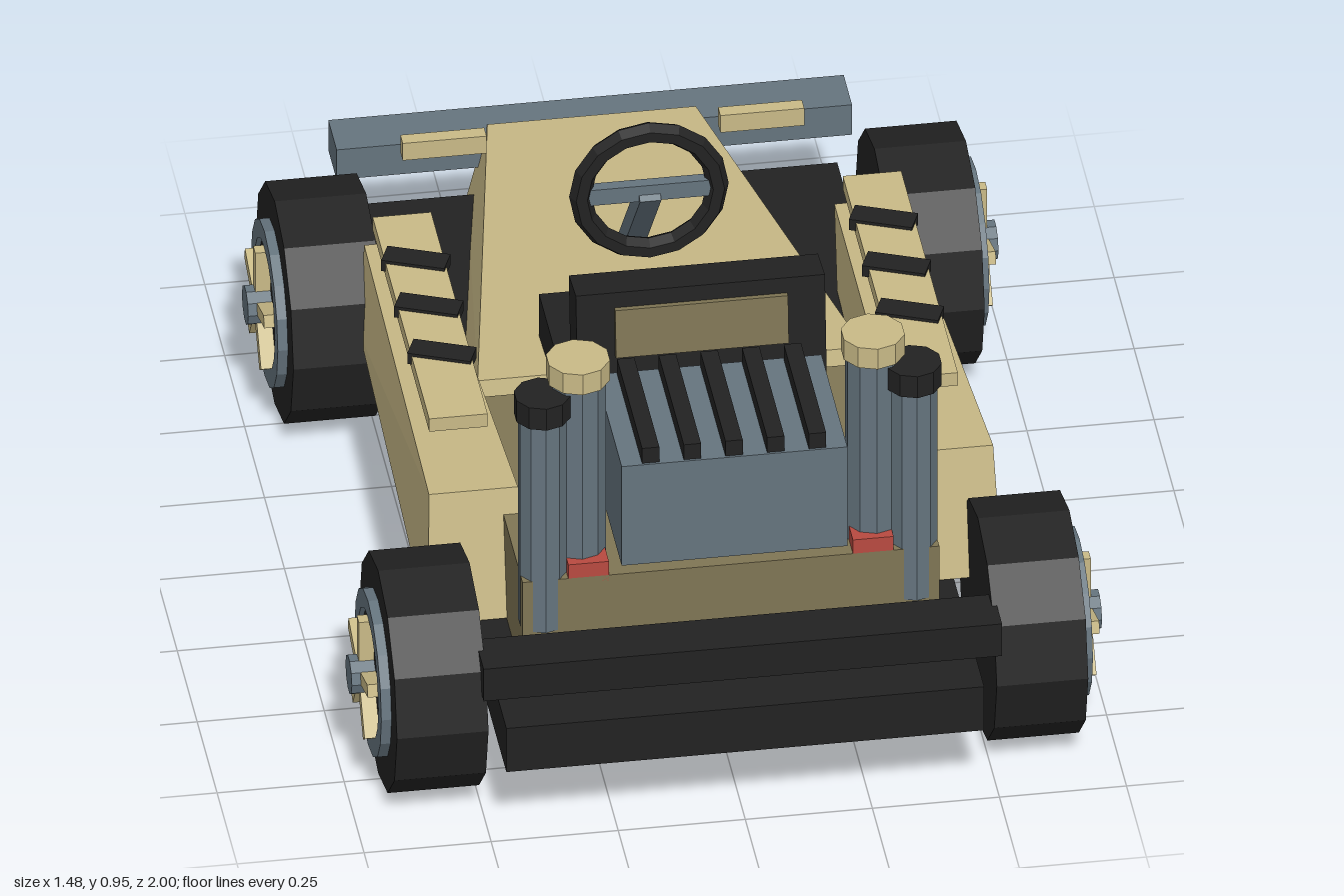
import * as THREE from 'three';

const paint = (name, color) => {
  const m = new THREE.MeshStandardMaterial({ color, flatShading: true });
  m.name = name;
  return m;
};

export function createModel() {
  const tan = paint('tan', 0xc9ba87), olive = paint('olive', 0x7f7554);
  const slate = paint('slate', 0x65747e), black = paint('black', 0x222222);
  const red = paint('red', 0xb84a40);
  const kart = new THREE.Group();
  kart.name = 'kart';

  const add = (name, geometry, material, parent = kart) => {
    const mesh = new THREE.Mesh(geometry, material);
    mesh.name = name;
    parent.add(mesh);
    return mesh;
  };
  // Box given by its limits on each axis
  const box = (name, mat, [x0, x1], [y0, y1], [z0, z1], parent) => {
    const m = add(name, new THREE.BoxGeometry(x1 - x0, y1 - y0, z1 - z0), mat, parent);
    m.position.set((x0 + x1) / 2, (y0 + y1) / 2, (z0 + z1) / 2);
    return m;
  };
  // Box whose corners are placed by a rule on the signs of x, y and z
  const wedge = (name, mat, rule) => {
    const g = new THREE.BoxGeometry(2, 2, 2), p = g.attributes.position;
    for (let i = 0; i < p.count; i++) p.setXYZ(i, ...rule(p.getX(i), p.getY(i), p.getZ(i)));
    g.computeVertexNormals();
    return add(name, g, mat);
  };
  // Upright cylinder
  const post = (name, mat, x, z, r, y0, y1, sides) => {
    const m = add(name, new THREE.CylinderGeometry(r, r, y1 - y0, sides), mat);
    m.position.set(x, (y0 + y1) / 2, z);
    return m;
  };
  // Cylinder lying along x
  const disc = (name, mat, r, x0, x1, sides, parent) => {
    const g = new THREE.CylinderGeometry(r, r, x1 - x0, sides).rotateZ(-Math.PI / 2);
    const m = add(name, g, mat, parent);
    m.position.x = (x0 + x1) / 2;
    return m;
  };

  // Chassis and bumpers
  box('chassis', black, [-0.47, 0.47], [0.16, 0.262], [-0.845, 1]);
  box('upperBumper', black, [-0.51, 0.51], [0.31, 0.385], [0.865, 0.97]);
  box('noseBumper', slate, [-0.507, 0.507], [0.29, 0.36], [-1, -0.895]);

  // Bodywork: tapered nose and rear deck
  wedge('nose', tan, (x, y, z) => {
    if (z < 0) return y > 0 ? [x * 0.205, 0.365, -0.93] : [x * 0.24, 0.185, -0.96];
    return y > 0 ? [x * 0.38, 0.445, 0.065] : [x * 0.44, 0.185, 0.12];
  });
  box('rearDeck', olive, [-0.41, 0.41], [0.25, 0.478], [0.17, 0.82]);

  for (const s of [-1, 1]) {
    // Side pod with a plate and three slanted stripes
    wedge('sidePod', tan, (x, y, z) => {
      const outer = x * s > 0;
      if (z < 0) return [s * (outer ? (y > 0 ? 0.525 : 0.54) : 0.4), y > 0 ? 0.445 : 0.265, y > 0 ? -0.435 : -0.4];
      return [s * (outer ? (y > 0 ? 0.555 : 0.565) : 0.38), y > 0 ? 0.533 : 0.265, y > 0 ? 0.57 : 0.625];
    });
    box('podPlate', tan, s > 0 ? [0.405, 0.52] : [-0.52, -0.405], [0.53, 0.56], [-0.36, 0.35]);
    for (const z of [-0.2, -0.037, 0.127]) {
      const stripe = add('podStripe', new THREE.BoxGeometry(0.126, 0.025, 0.052), black);
      stripe.position.set(s * 0.46, 0.554, z);
      stripe.rotation.y = -0.39;
    }

    // Small bracket beside the nose
    box('noseBracket', tan, s > 0 ? [0.23, 0.395] : [-0.395, -0.23], [0.4, 0.44], [-0.81, -0.78]);

    // Twin exhaust stacks and tail light
    post('innerStack', slate, s * 0.29, 0.75, 0.055, 0.46, 0.9, 10);
    post('innerStackCap', tan, s * 0.29, 0.75, 0.063, 0.9, 0.947, 10);
    post('outerStack', slate, s * 0.365, 0.78, 0.048, 0.36, 0.84, 10);
    post('outerStackCap', black, s * 0.365, 0.78, 0.056, 0.84, 0.89, 10);
    box('tailLight', red, s > 0 ? [0.24, 0.32] : [-0.32, -0.24], [0.465, 0.51], [0.77, 0.82]);
  }

  // Seat with leaning back and inset panel
  box('seatCushion', black, [-0.235, 0.235], [0.43, 0.53], [-0.09, 0.42]);
  wedge('seatBack', black, (x, y, z) =>
    [x * 0.245, y > 0 ? (z < 0 ? 0.867 : 0.877) : 0.5, (y > 0 ? 0.393 : 0.43) + z * 0.044]);
  const panel = box('seatPanel', olive, [-0.17, 0.17], [0.735, 0.84], [0.348, 0.458]);
  panel.rotation.x = -0.1;

  // Engine block with cooling fins
  box('engine', slate, [-0.222, 0.222], [0.528, 0.76], [0.54, 0.865]);
  for (let i = -2; i <= 2; i++) {
    box('engineFin', black, [i * 0.082 - 0.017, i * 0.082 + 0.017], [0.755, 0.795], [0.545, 0.86]);
  }

  // Steering wheel, crossbar and column
  const wheelRing = add('steeringWheel', new THREE.TorusGeometry(0.135, 0.022, 6, 16), black);
  wheelRing.position.set(0, 0.67, -0.21);
  box('steeringCrossbar', slate, [-0.125, 0.125], [0.652, 0.688], [-0.222, -0.198]);
  const column = add('steeringColumn', new THREE.BoxGeometry(0.042, 0.04, 0.38), slate);
  column.position.set(0, 0.527, -0.327);
  column.rotation.x = -Math.atan2(0.29, 0.25);

  // Wheels and axles
  const ring = new THREE.Shape().absarc(0, 0, 0.168, 0, Math.PI * 2);
  ring.holes.push(new THREE.Path().absarc(0, 0, 0.13, 0, Math.PI * 2, true));
  const rimGeometry = new THREE.ExtrudeGeometry(ring, { depth: 0.03, bevelEnabled: false, curveSegments: 8 })
    .rotateY(Math.PI / 2);
  for (const z of [0.73, -0.57]) {
    const axle = disc('axle', slate, 0.022, -0.6, 0.6, 8);
    axle.position.set(0, 0.237, z);
    for (const s of [-1, 1]) {
      const wheel = new THREE.Group();
      wheel.name = 'wheel';
      wheel.position.set(0, 0.237, z);
      if (s < 0) wheel.rotation.y = Math.PI;
      kart.add(wheel);
      disc('tire', black, 0.237, 0.5, 0.68, 12, wheel);
      add('rim', rimGeometry, slate, wheel).position.x = 0.67;
      disc('rimCentre', black, 0.135, 0.67, 0.69, 16, wheel);
      for (let i = 0; i < 5; i++) {
        const spoke = add('spoke', new THREE.BoxGeometry(0.03, 0.12, 0.026).translate(0, 0.068, 0), tan, wheel);
        spoke.position.x = 0.705;
        spoke.rotation.x = (i * Math.PI * 2) / 5;
      }
      disc('hub', slate, 0.04, 0.68, 0.738, 10, wheel);
    }
  }
  return kart;
}
